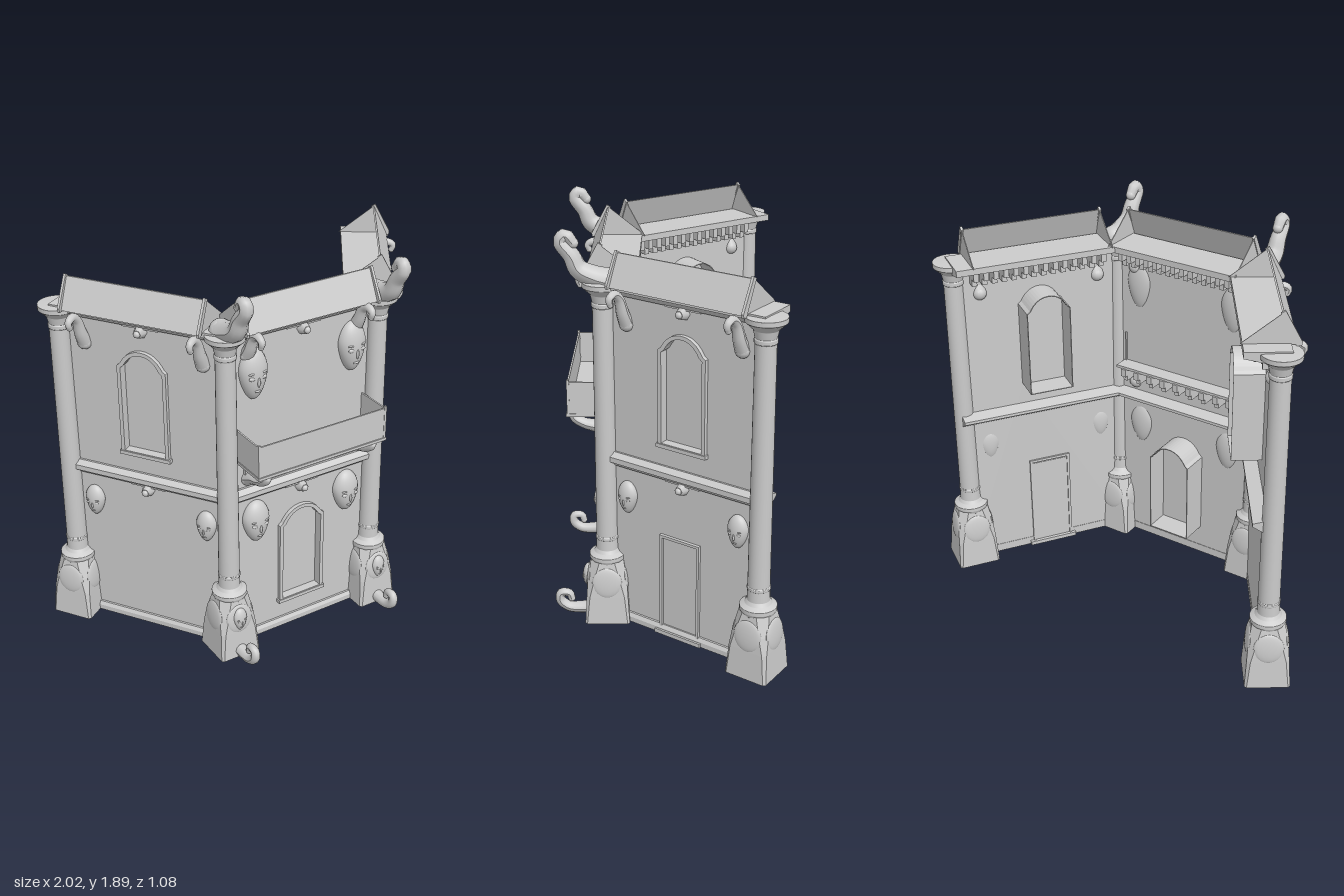
import * as THREE from 'three';

const mat = new THREE.MeshStandardMaterial({ color: 0xcccccc, side: THREE.DoubleSide });
const ANGLE = 0.976; // turn of each wing
const MITRE = Math.tan(ANGLE / 2);
const V = (x, y, z) => new THREE.Vector3(x, y, z);

function add(parent, name, geo, x = 0, y = 0, z = 0) {
  const m = new THREE.Mesh(geo, mat);
  m.name = name;
  m.position.set(x, y, z);
  parent.add(m);
  return m;
}
const box = (p, name, w, h, d, x, y, z) => add(p, name, new THREE.BoxGeometry(w, h, d), x, y, z);
function ball(p, name, rx, ry, rz, x, y, z) {
  const m = add(p, name, new THREE.SphereGeometry(1, 16, 12), x, y, z);
  m.scale.set(rx, ry, rz);
  return m;
}

// Moulding: profile of [outward, y] run along x, each end skewed by its mitre
function moulding(p, name, profile, s0, s1, k0 = 0, k1 = 0) {
  const shape = new THREE.Shape(profile.map(([o, y]) => new THREE.Vector2(o, y)));
  const g = new THREE.ExtrudeGeometry(shape, { depth: 1, bevelEnabled: false });
  g.rotateY(-Math.PI / 2);
  const a = g.attributes.position;
  for (let i = 0; i < a.count; i++) {
    const o = a.getZ(i);
    a.setX(i, a.getX(i) > -0.5 ? s1 + k1 * o : s0 + k0 * o);
  }
  g.computeVertexNormals();
  return add(p, name, g);
}

// Tube along points, tapering from r0 to r1, with rounded ends
function horn(p, name, pts, r0, r1) {
  const n = 28, r = 10, curve = new THREE.CatmullRomCurve3(pts);
  const g = new THREE.TubeGeometry(curve, n, 1, r);
  const a = g.attributes.position, v = V(0, 0, 0);
  for (let i = 0; i <= n; i++) {
    const c = curve.getPointAt(i / n), rad = r0 + (r1 - r0) * i / n;
    for (let j = 0; j <= r; j++) {
      const q = i * (r + 1) + j;
      v.fromBufferAttribute(a, q).sub(c).multiplyScalar(rad).add(c);
      a.setXYZ(q, v.x, v.y, v.z);
    }
  }
  g.computeVertexNormals();
  add(p, name, g);
  const a0 = pts[0], a1 = pts[pts.length - 1];
  ball(p, name + 'Root', r0, r0, r0, a0.x, a0.y, a0.z);
  ball(p, name + 'Tip', r1, r1, r1, a1.x, a1.y, a1.z);
}

// Face with a narrow chin, passing through the wall
function mask(p, x, y, z, w, h) {
  const m = new THREE.Group();
  m.name = 'mask';
  const g = new THREE.SphereGeometry(1, 24, 20), a = g.attributes.position;
  for (let i = 0; i < a.count; i++) {
    const low = Math.max(0, 0.25 - a.getY(i));
    a.setX(i, a.getX(i) * (1 - 0.27 * low));
    if (a.getZ(i) < 0) a.setZ(i, a.getZ(i) * 0.6);
  }
  g.computeVertexNormals();
  add(m, 'face', g);
  ball(m, 'nose', 0.1, 0.2, 0.22, 0, -0.18, 0.92);
  ball(m, 'mouth', 0.22, 0.06, 0.16, 0, -0.55, 0.76);
  for (const s of [-1, 1]) {
    ball(m, 'eye', 0.22, 0.08, 0.14, s * 0.4, -0.02, 0.84);
    ball(m, 'brow', 0.26, 0.04, 0.12, s * 0.4, 0.16, 0.84);
  }
  m.scale.set(w / 2, h / 2, w * 0.38);
  m.position.set(x, y, z);
  p.add(m);
}

// Arched outline with small shoulders; t grows it outward
function archPath(T, cx, y0, h, w, t = 0) {
  const s = new T(), b = w / 2 + t, sh = y0 + h - 0.075 + t * 0.5, top = y0 + h + t;
  s.moveTo(cx - b, y0 - t);
  s.lineTo(cx + b, y0 - t);
  s.lineTo(cx + b, sh);
  s.lineTo(cx + b - 0.015, sh + 0.012);
  s.quadraticCurveTo(cx + b * 0.55, top, cx, top);
  s.quadraticCurveTo(cx - b * 0.55, top, cx - b + 0.015, sh + 0.012);
  s.lineTo(cx - b, sh);
  s.closePath();
  return s;
}
const extrude = (s, depth) => new THREE.ExtrudeGeometry(s, { depth, bevelEnabled: false, curveSegments: 8 });

// Window: raised frame, panel near the front, lining open at the back
function windowBox(p, y0, h, w) {
  const ring = (t, depth, z, name) => {
    const s = archPath(THREE.Shape, 0, y0, h, w, t);
    s.holes.push(archPath(THREE.Path, 0, y0, h, w));
    add(p, name, extrude(s, depth), 0, 0, z);
  };
  ring(0.018, 0.02, 0, 'windowFrame');
  ring(0.004, 0.15, -0.15, 'windowLining');
  add(p, 'windowPanel', extrude(archPath(THREE.Shape, 0, y0, h, w, 0.002), 0.006), 0, 0, -0.03);
  box(p, 'windowSill', w + 0.05, 0.018, 0.03, 0, y0 - 0.012, 0.01);
}

// Curled bracket standing out of the wall, top at y
const hook = (p, x, y, k = 1) => horn(p, 'hook', [V(x, y - 0.17 * k, 0.0), V(x, y - 0.12 * k, 0.025),
  V(x, y - 0.04 * k, 0.055), V(x, y - 0.015, 0.09), V(x, y - 0.03, 0.122), V(x, y - 0.055, 0.115)], 0.034, 0.014);

// Wall with its mouldings, roof, window and ornaments
function facade(name, s0, s1, k0, k1, r0, r1, win) {
  const f = new THREE.Group();
  f.name = name;
  const wall = new THREE.Shape([[s0, 0], [s1, 0], [s1, 1.64], [s0, 1.64]].map(q => new THREE.Vector2(...q)));
  wall.holes.push(archPath(THREE.Path, 0, ...win));
  add(f, 'wall', extrude(wall, 0.01), 0, 0, -0.01);
  windowBox(f, ...win);
  moulding(f, 'plinth', [[-0.012, 0], [0.02, 0], [0.02, 0.025], [0.01, 0.042], [-0.012, 0.042]], s0, s1, k0, k1);
  moulding(f, 'waistCornice', [[-0.075, 0.825], [-0.02, 0.79], [0.01, 0.79], [0.025, 0.81], [0.04, 0.815],
    [0.04, 0.84], [0.015, 0.86], [-0.075, 0.84]], s0, s1, k0, k1);
  moulding(f, 'topCornice', [[-0.14, 1.635], [-0.01, 1.605], [0.01, 1.605], [0.03, 1.63], [0.06, 1.64],
    [0.06, 1.665], [-0.14, 1.665]], s0, s1, k0, k1);
  // Thin sloping roof front with open back and triangular ends
  moulding(f, 'roof', [[0.09, 1.66], [0.025, 1.8], [0.017, 1.8], [0.07, 1.66]], r0, r1);
  for (const e of [r0, r1]) {
    moulding(f, 'roofEnd', [[0.08, 1.66], [0.02, 1.8], [-0.15, 1.665]], e - 0.002, e + 0.002);
    moulding(f, 'roofTrim', [[0.102, 1.655], [0.105, 1.672], [0.03, 1.812], [0.01, 1.8], [0.08, 1.655]], e - 0.006, e + 0.006);
  }
  // Corbels under the inner ledge
  const n = 14;
  for (let i = 0; i < n; i++) {
    const x = r0 + (r1 - r0) * (i + 0.5) / n;
    box(f, 'corbel', 0.025, 0.06, 0.08, x, 1.605, -0.05);
    box(f, 'corbelFoot', 0.025, 0.04, 0.045, x, 1.56, -0.03);
  }
  // Knobs below the cornices
  for (const y of [0.77, 1.585]) {
    const k = add(f, 'knob', new THREE.CylinderGeometry(0.02, 0.033, 0.04, 6).rotateX(Math.PI / 2), 0, y, 0.018);
    k.rotation.z = Math.PI / 6;
    ball(f, 'knobCentre', 0.016, 0.016, 0.014, 0, y, 0.038);
    moulding(f, 'knobBand', [[0, y + 0.015], [0.012, y + 0.015], [0.012, y + 0.03], [0, y + 0.03]], -0.09, 0.09);
  }
  return f;
}

// Column: tapered chamfered pedestal, turned shaft and capital
function column() {
  const c = new THREE.Group();
  c.name = 'column';
  const levels = [[0, 0.105, 0.01], [0.14, 0.097, 0.016], [0.22, 0.091, 0.03], [0.31, 0.076, 0.04]];
  const pos = [], idx = [];
  levels.forEach(([y, h, k]) => [[h, k - h], [h, h - k], [h - k, h], [k - h, h], [-h, h - k], [-h, k - h], [k - h, -h], [h - k, -h]]
    .forEach(([x, z]) => pos.push(x, y, z)));
  for (let l = 0; l < 3; l++) for (let i = 0; i < 8; i++) {
    const a = l * 8 + i, b = l * 8 + (i + 1) % 8;
    idx.push(a, a + 8, b, b, a + 8, b + 8);
  }
  for (let i = 1; i < 7; i++) idx.push(0, i, i + 1);
  let g = new THREE.BufferGeometry();
  g.setAttribute('position', new THREE.Float32BufferAttribute(pos, 3));
  g.setIndex(idx);
  g = g.toNonIndexed();
  g.computeVertexNormals();
  add(c, 'pedestal', g);
  const prof = [[0, 0.3], [0.078, 0.3], [0.084, 0.315], [0.084, 0.332], [0.062, 0.345], [0.052, 0.36], [0.05, 0.41],
    [0.053, 0.414], [0.053, 0.424], [0.05, 0.428], [0.046, 1.54], [0.05, 1.545], [0.05, 1.56], [0.047, 1.565], [0.055, 1.6],
    [0.085, 1.63], [0.09, 1.634], [0.09, 1.655], [0, 1.66]];
  // each profile point is doubled slightly so edges stay crisp
  const pts = prof.flatMap(([r, y], i) => i && i < prof.length - 1 ? [new THREE.Vector2(r, y - 0.0008), new THREE.Vector2(r, y + 0.0008)] : [new THREE.Vector2(r, y)]);
  add(c, 'shaft', new THREE.LatheGeometry(pts, 24));
  for (let i = 0; i < 4; i++) {
    const a = i * Math.PI / 2;
    ball(c, 'boss', 0.07, 0.075, 0.014, Math.sin(a) * 0.086, 0.21, Math.cos(a) * 0.086).rotation.set(-0.1, a, 0, 'YXZ');
  }
  return c;
}

// Door in the middle of a wing, with frame and step
function door(p) {
  const x = -0.012;
  box(p, 'doorPanel', 0.19, 0.49, 0.016, x, 0.245, -0.005);
  for (const s of [-1, 1]) box(p, 'doorJamb', 0.013, 0.51, 0.034, x + s * 0.1, 0.255, -0.002);
  box(p, 'doorHead', 0.213, 0.013, 0.034, x, 0.504, -0.002);
  box(p, 'doorStep', 0.25, 0.02, 0.06, x, 0.01, 0);
}

// One half: wing, its columns, and the ornaments of the front
function side(withDoor) {
  const g = new THREE.Group();
  const wing = facade('wing', -0.427, 0.43, -MITRE, 0, -0.33, 0.35, [0.97, 0.5, 0.21]);
  wing.position.set(0.625, 0, -0.074);
  wing.rotation.y = ANGLE;
  g.add(wing);
  if (withDoor) door(wing);
  for (const s of [-0.3, 0.292]) {
    mask(wing, s, 0.647, 0.004, 0.105, 0.16);
    hook(wing, s, 1.65);
  }
  const rear = column();
  rear.position.set(0.868, 0, -0.405);
  rear.rotation.y = ANGLE;
  g.add(rear);

  const front = column();
  front.position.set(0.405, 0, 0.28);
  g.add(front);
  mask(front, 0, 0.21, 0.09, 0.075, 0.12);
  horn(front, 'footHorn', [V(0, 0.04, 0.07), V(0, 0.032, 0.13), V(0, 0.037, 0.19), V(0, 0.07, 0.228),
    V(0, 0.108, 0.225), V(0, 0.107, 0.185), V(0, 0.08, 0.175)], 0.032, 0.017);
  horn(front, 'crownHorn', [V(0, 1.66, -0.03), V(0, 1.675, 0.03), V(0, 1.71, 0.1), V(0, 1.77, 0.13),
    V(0, 1.835, 0.178), V(0, 1.862, 0.155), V(0, 1.825, 0.122)], 0.055, 0.024);

  const f = new THREE.Group();
  f.name = 'frontOrnaments';
  f.position.z = 0.27;
  g.add(f);
  mask(f, 0.255, 0.66, 0.004, 0.145, 0.22);
  mask(f, 0.265, 1.43, 0.004, 0.148, 0.25);
  hook(f, 0.29, 1.66, 0.8);
  horn(f, 'balconyBracket', [V(0.29, 0.9, 0), V(0.29, 0.925, 0.05), V(0.29, 0.94, 0.11), V(0.29, 0.965, 0.155),
    V(0.29, 0.99, 0.165), V(0.29, 0.985, 0.13)], 0.036, 0.015);
  return g;
}

export function createModel() {
  const model = new THREE.Group();
  model.name = 'corneredFacade';
  for (const s of [1, -1]) {
    const h = side(s > 0);
    h.name = s > 0 ? 'leftHalf' : 'rightHalf';
    h.scale.x = s;
    model.add(h);
  }
  const front = facade('frontFacade', -0.39, 0.39, -MITRE, MITRE, -0.345, 0.345, [0.16, 0.49, 0.215]);
  front.position.z = 0.27;
  model.add(front);

  // Balcony with thin sides and corbels
  const b = new THREE.Group();
  b.name = 'balcony';
  b.position.z = 0.25;
  model.add(b);
  box(b, 'floor', 0.7, 0.014, 0.28, 0, 1.002, 0.07);
  box(b, 'railPanel', 0.69, 0.155, 0.008, 0, 1.085, 0.2);
  for (const s of [-1, 1]) {
    box(b, 'sidePanel', 0.008, 0.155, 0.2, s * 0.342, 1.085, 0.1);
    box(b, 'cornerPost', 0.012, 0.175, 0.012, s * 0.342, 1.085, 0.2);
  }
  for (let i = 0; i < 9; i++) {
    const x = (i - 4) * 0.076;
    box(b, 'corbel', 0.028, 0.04, 0.16, x, 0.978, 0);
    box(b, 'corbelFoot', 0.022, 0.04, 0.1, x, 0.95, -0.01);
  }
  return model;
}
